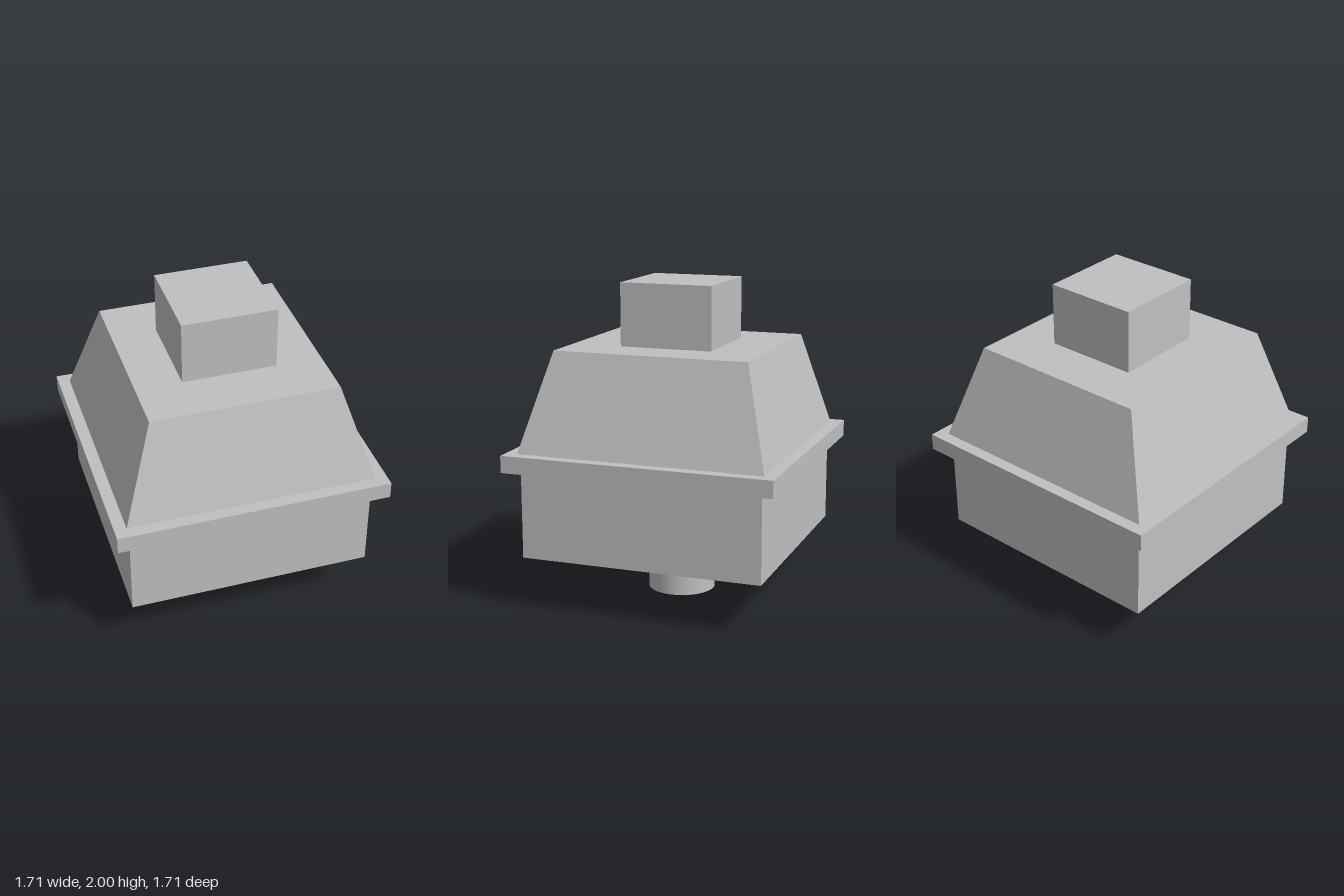
import * as THREE from 'three';

export function createModel() {
  const model = new THREE.Group();
  const grey = new THREE.MeshStandardMaterial({ color: 0xc0c0c0 });
  grey.name = 'light grey';

  // Adds a part that spans from y0 to y1
  const add = (name, geometry, y0, y1) => {
    const mesh = new THREE.Mesh(geometry, grey);
    mesh.name = name;
    mesh.position.y = (y0 + y1) / 2;
    model.add(mesh);
  };
  const addBlock = (name, half, y0, y1) =>
    add(name, new THREE.BoxGeometry(half * 2, y1 - y0, half * 2), y0, y1);

  // Round outlet under the body
  add('outlet', new THREE.CylinderGeometry(0.214, 0.214, 0.332, 48), 0, 0.332);

  // Square body, overhanging rim and top neck
  addBlock('body', 0.765, 0.332, 0.885);
  addBlock('rim', 0.855, 0.885, 0.992);
  addBlock('neck', 0.295, 1.605, 2);

  // Tapered hood: a box with its top corners drawn in
  const hood = new THREE.BoxGeometry(1.56, 0.613, 1.56);
  const p = hood.attributes.position;
  for (let i = 0; i < p.count; i++) {
    if (p.getY(i) > 0) {
      p.setX(i, Math.sign(p.getX(i)) * 0.582);
      p.setZ(i, Math.sign(p.getZ(i)) * 0.616);
    }
  }
  hood.computeVertexNormals();
  add('hood', hood, 0.992, 1.605);

  return model;
}
